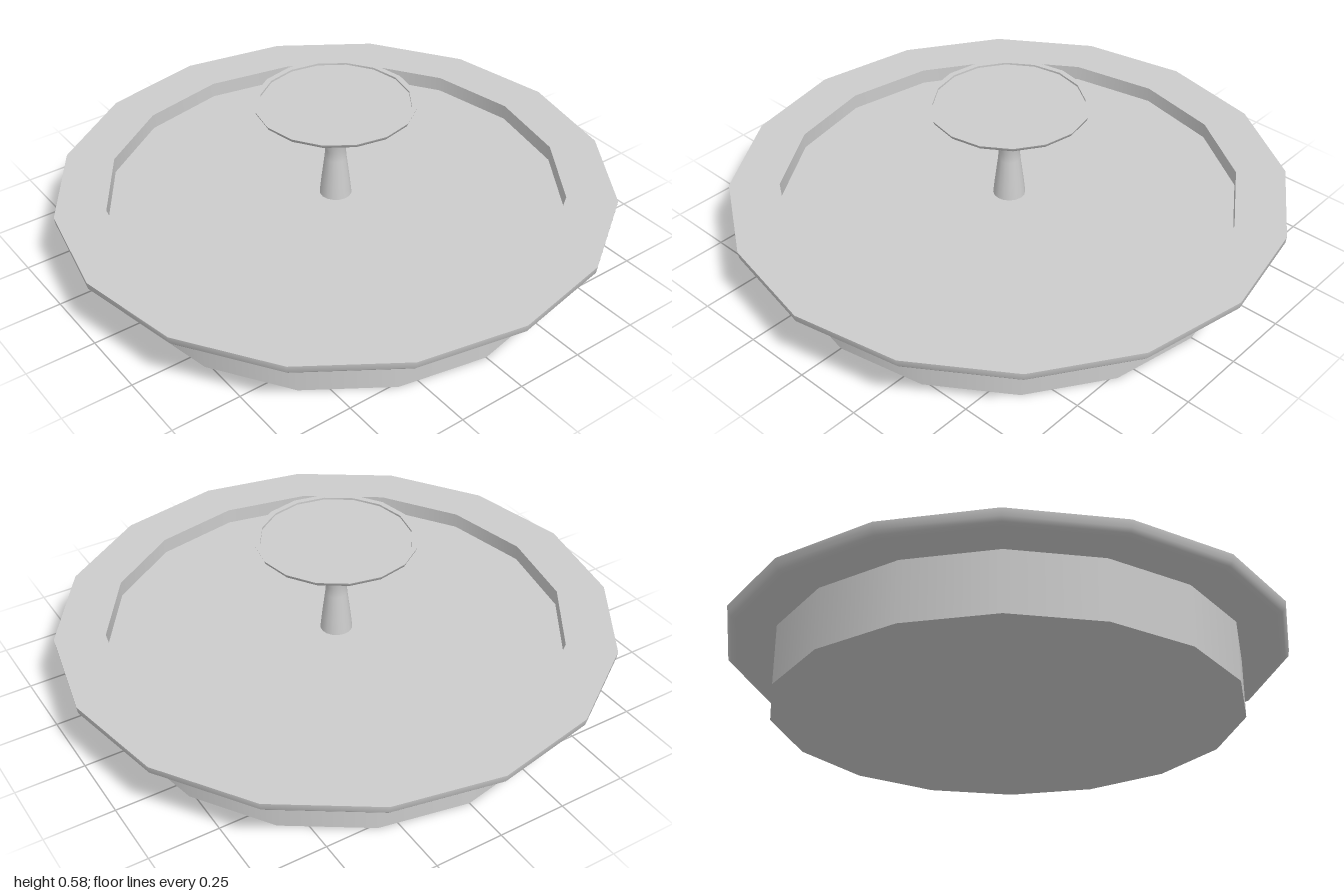
import * as THREE from 'three';
import { mergeGeometries } from 'three/addons/utils/BufferGeometryUtils.js';

const SIDES = 16;
const material = new THREE.MeshStandardMaterial({ color: 0xcccccc });

// Revolves several profile runs; each run is smooth, with a sharp edge between runs.
function revolve(name, runs) {
  const parts = runs.map(run =>
    new THREE.LatheGeometry(run.map(([r, y]) => new THREE.Vector2(r, y)), SIDES));
  const mesh = new THREE.Mesh(mergeGeometries(parts), material);
  mesh.name = name;
  return mesh;
}

export function createModel() {
  const group = new THREE.Group();
  group.name = 'lid';

  // Plug that sits inside the vessel
  group.add(revolve('plug', [
    [[0, 0], [0.83, 0]],
    [[0.83, 0], [0.83, 0.214]],
  ]));

  // Overhanging rim: soft lower edge, flat top, step down to the sunken floor
  group.add(revolve('rim', [
    [[0.83, 0.214], [0.965, 0.214], [0.985, 0.219], [0.997, 0.232], [1, 0.257]],
    [[1, 0.257], [0.82, 0.257]],
    [[0.82, 0.257], [0.82, 0.2]],
  ]));
  group.add(revolve('sunkenFloor', [[[0.82, 0.2], [0, 0.2]]]));

  // Waisted stem flaring out under the knob
  group.add(revolve('stem', [
    [[0.058, 0.2], [0.052, 0.255], [0.04, 0.35], [0.037, 0.385], [0.048, 0.45], [0.075, 0.51], [0.265, 0.564]],
  ]));

  // Knob disc with a shallow dish inside its thin border
  group.add(revolve('knob', [
    [[0.265, 0.564], [0.28, 0.568], [0.285, 0.58]],
    [[0.285, 0.58], [0.265, 0.58]],
    [[0.265, 0.58], [0.265, 0.573]],
    [[0.265, 0.573], [0, 0.573]],
  ]));

  return group;
}
